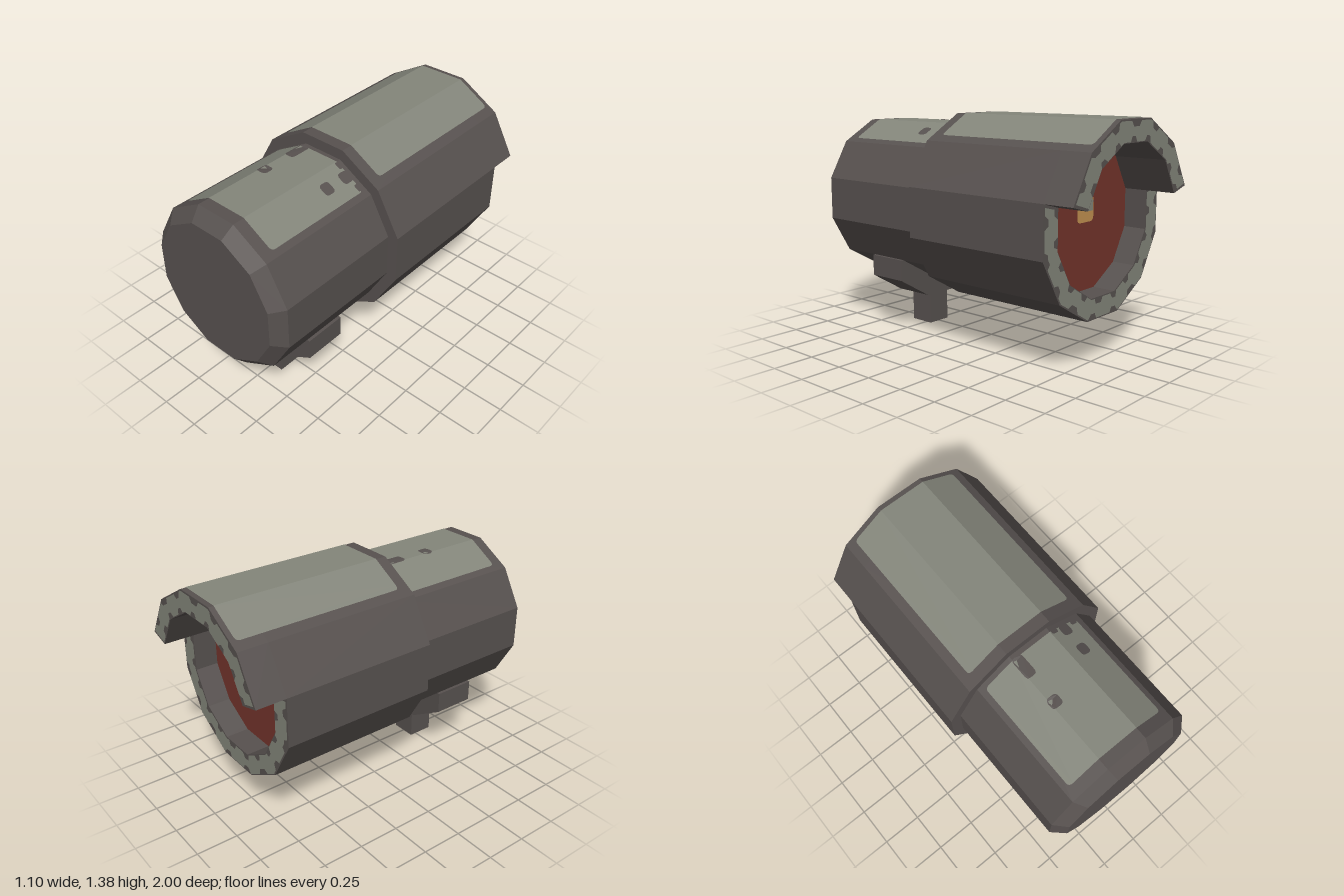
import * as THREE from 'three';

const CY = 0.827; // height of the barrel axis
const STEP = Math.PI / 6;
const HOOD_R = 0.567, INNER_R = 0.44, BODY_R = 0.5, CAP_R = 0.427;

const flat = (g) => {
  const f = g.index ? g.toNonIndexed() : g;
  f.computeVertexNormals();
  return f;
};

// Corner of a twelve-sided ring with a flat side on top
const corner = (r, k) => new THREE.Vector2(
  r * Math.cos(STEP * (k + 0.5)), r * Math.sin(STEP * (k + 0.5)));
const corners = (r, from, to) => {
  const out = [];
  for (let k = from; k <= to; k++) out.push(corner(r, k));
  return out;
};

// Distance from the axis to the ring's side at angle a
const edgeRadius = (r, a) =>
  r * Math.cos(STEP / 2) / Math.cos(a - Math.round(a / STEP) * STEP);

const extrude = (shape, z0, z1) => {
  const g = new THREE.ExtrudeGeometry(shape, { depth: z1 - z0, bevelEnabled: false });
  g.translate(0, 0, z0);
  return flat(g);
};

const roundedRect = (x0, y0, x1, y1, r) => {
  const s = new THREE.Shape();
  s.moveTo(x0 + r, y0).lineTo(x1 - r, y0).quadraticCurveTo(x1, y0, x1, y0 + r);
  s.lineTo(x1, y1 - r).quadraticCurveTo(x1, y1, x1 - r, y1);
  s.lineTo(x0 + r, y1).quadraticCurveTo(x0, y1, x0, y1 - r);
  s.lineTo(x0, y0 + r).quadraticCurveTo(x0, y0, x0 + r, y0);
  return s;
};

// Lays a flat shape (x, -z) over the top three sides of a ring
const drape = (shape, r, lift) => {
  const g = new THREE.ShapeGeometry(shape, 4);
  g.rotateX(-Math.PI / 2);
  const p = g.attributes.position;
  const v = r * Math.sin(STEP / 2), top = r * Math.cos(STEP / 2);
  for (let i = 0; i < p.count; i++) {
    const over = Math.max(0, Math.abs(p.getX(i)) - v);
    p.setY(i, top - over * Math.tan(STEP) + lift);
  }
  return flat(g);
};

// Outer strip of a painted panel: square at the fold, rounded at the free edge
const sideStrip = (inner, outer, z0, z1) => {
  const r = 0.025 * Math.sign(outer);
  const s = new THREE.Shape();
  s.moveTo(inner, -z1).lineTo(outer - r, -z1);
  s.quadraticCurveTo(outer, -z1, outer, -z1 + 0.025);
  s.lineTo(outer, -z0 - 0.025).quadraticCurveTo(outer, -z0, outer - r, -z0);
  s.lineTo(inner, -z0);
  return s;
};

// Worn paint on the end face of the hood, with bites along both edges
const wornRim = (a0, a1) => {
  const outer = [], inner = [];
  const n = Math.round((a1 - a0) / 0.035);
  for (let i = 0; i <= n; i++) {
    const a = a0 + (a1 - a0) * i / n;
    const dir = new THREE.Vector2(Math.cos(a), Math.sin(a));
    const biteOut = Math.sin(a * 17) > 0.55 ? 0.03 : 0;
    const biteIn = Math.sin(a * 19 + 2) > 0.5 ? 0.03 : 0;
    outer.push(dir.clone().multiplyScalar(edgeRadius(HOOD_R, a) - 0.008 - biteOut));
    inner.unshift(dir.clone().multiplyScalar(edgeRadius(INNER_R, a) + 0.005 + biteIn));
  }
  return new THREE.Shape([...outer, ...inner]);
};

export function createModel() {
  const mat = (name, color) => {
    const m = new THREE.MeshStandardMaterial({ color });
    m.name = name;
    return m;
  };
  const casing = mat('dark casing', 0x57514f);
  const paint = mat('worn grey paint', 0x83857a);
  const red = mat('red face', 0x73342b);
  const amber = mat('amber mark', 0xc29150);

  const model = new THREE.Group();
  const barrel = new THREE.Group();
  barrel.name = 'barrel';
  barrel.position.y = CY;
  model.add(barrel);
  const add = (name, geometry, material, parent = barrel) => {
    const m = new THREE.Mesh(geometry, material);
    m.name = name;
    parent.add(m);
    return m;
  };

  // Front body with bevelled cap
  const drum = (r1, r0, z0, z1, open) => {
    const g = new THREE.CylinderGeometry(r1, r0, z1 - z0, 12, 1, open, STEP / 2);
    g.rotateX(Math.PI / 2);
    g.translate(0, 0, (z0 + z1) / 2);
    return flat(g);
  };
  add('frontBody', drum(BODY_R, BODY_R, 0.1, 0.93, true), casing);
  add('frontCap', drum(CAP_R, BODY_R, 0.93, 1, false), casing);

  // Hollow hood and its longer upper brim
  const ring = new THREE.Shape(corners(HOOD_R, 0, 11));
  ring.holes.push(new THREE.Path(corners(INNER_R, 0, 11).reverse()));
  add('hood', extrude(ring, -0.82, 0.14), casing);
  const arc = new THREE.Shape([
    ...corners(HOOD_R, 0, 5), ...corners(INNER_R, 0, 5).reverse()]);
  add('hoodBrim', extrude(arc, -1, -0.82), casing);

  // Recessed red face with its mark
  const backward = (shape, z) => {
    const g = new THREE.ShapeGeometry(shape, 4);
    g.rotateY(Math.PI);
    g.translate(0, 0, z);
    return flat(g);
  };
  add('redFace', backward(new THREE.Shape(corners(INNER_R, 0, 11)), -0.68), red);
  add('amberMark', backward(roundedRect(-0.065, -0.035, 0.09, 0.11, 0.03), -0.684), amber);
  add('markCentre', backward(roundedRect(0.01, 0.025, 0.08, 0.09, 0.01), -0.688), paint);

  // Worn paint on the end faces
  const a = STEP / 2;
  add('brimPaint', backward(wornRim(a + 0.03, Math.PI - a - 0.03), -1), paint)
    .position.z = -0.003;
  add('rimPaint', backward(wornRim(Math.PI - a + 0.03, 2 * Math.PI + a - 0.03), -0.823), paint);

  // Painted panels folded over the top sides
  const panel = (name, r, half, z0, z1) => {
    const v = r * Math.sin(STEP / 2);
    const group = new THREE.Group();
    group.name = name;
    barrel.add(group);
    const mid = new THREE.Shape();
    mid.moveTo(-v, -z1).lineTo(v, -z1).lineTo(v, -z0).lineTo(-v, -z0);
    add('topStrip', drape(mid, r, 0.003), paint, group);
    for (const s of [-1, 1])
      add('sideStrip', drape(sideStrip(s * v, s * half, z0, z1), r, 0.003), paint, group);
  };
  panel('hoodPanel', HOOD_R, 0.35, -0.97, 0.07);
  panel('bodyPanel', BODY_R, 0.32, 0.17, 0.86);

  // Bare spots and streaks in the body panel
  const spots = [
    [-0.105, 0.485, 0.035, 0.035], [0.22, 0.345, 0.032, 0.035],
    [-0.105, 0.235, 0.033, 0.07], [0.22, 0.2, 0.032, 0.035],
    [0.295, 0.18, 0.02, 0.014], [0.155, 0.18, 0.02, 0.012]];
  for (const [x, z, w, h] of spots) {
    const s = roundedRect(x - w, -z - h, x + w, -z + h, Math.min(w, h) * 0.7);
    add('bareSpot', drape(s, BODY_R, 0.006), casing);
  }

  // Saddle bracket and post
  const saddle = new THREE.Shape();
  saddle.moveTo(-0.373, 0.475).lineTo(-0.373, 0.345).lineTo(-0.147, 0.21);
  saddle.lineTo(0.147, 0.21).lineTo(0.373, 0.345).lineTo(0.373, 0.475);
  add('saddleBracket', extrude(saddle, 0.41, 0.67), casing, model);
  const post = add('post', new THREE.BoxGeometry(0.155, 0.23, 0.16), casing, model);
  post.position.set(0, 0.115, 0.54);

  return model;
}
